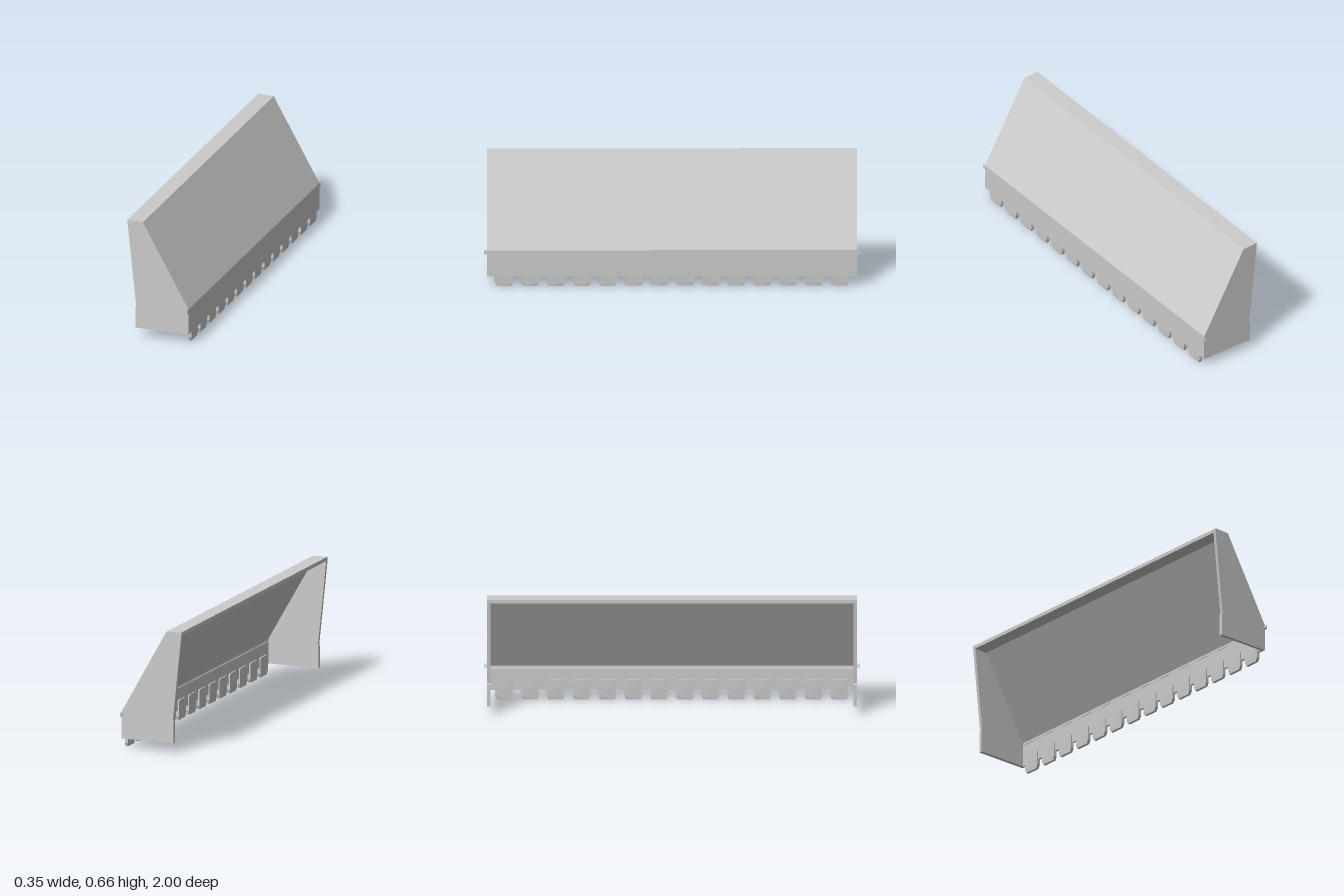
import * as THREE from 'three';

const HALF = 0.983; // half width of the bucket, along z

const toShape = (pts) => new THREE.Shape(pts.map(([x, y]) => new THREE.Vector2(x, y)));

// Extrude a profile by depth, starting at z
function extrude(pts, depth, z) {
  const geo = new THREE.ExtrudeGeometry(toShape(pts), { depth, bevelEnabled: false });
  return geo.translate(0, 0, z);
}

export function createModel() {
  const model = new THREE.Group();
  model.name = 'bucket';
  const material = new THREE.MeshStandardMaterial({ color: 0xcccccc, flatShading: true });
  const add = (name, geo, parent = model) => {
    const mesh = new THREE.Mesh(geo, material);
    mesh.name = name;
    parent.add(mesh);
    return mesh;
  };

  // Bent sheet: top lip, sloping wall and upright cutting plate
  const sheet = [
    [-0.175, 0.661], [-0.175, 0.641], [-0.099, 0.639], [0.16, 0.188],
    [0.16, 0.052], [0.172, 0.052], [0.172, 0.197], [-0.088, 0.658],
  ];
  const plate = 0.018;
  add('shell', extrude(sheet, 2 * (HALF - plate), -HALF + plate));

  // End plates, with a small step in the rear edge
  const side = [
    [-0.175, 0.661], [-0.174, 0.64], [-0.126, 0.178], [-0.13, 0.172],
    [-0.13, 0.052], [0.172, 0.052], [0.172, 0.197], [-0.088, 0.658],
  ];
  add('leftEndPlate', extrude(side, plate, HALF - plate));
  add('rightEndPlate', extrude(side, plate, -HALF));

  // Triangular bar filling the bend, its ends poking through the end plates
  add('bendBar', extrude([[0.157, 0.173], [0.1715, 0.173], [0.1715, 0.195]], 2, -1));

  // Teeth behind the cutting plate, narrowing towards the tip
  const tooth = extrude([
    [-0.04, 0], [0.04, 0], [0.049, 0.02], [0.049, 0.1], [0.042, 0.108],
    [-0.042, 0.108], [-0.049, 0.1], [-0.049, 0.02],
  ], 0.0185, 0.153).rotateY(Math.PI / 2);
  const pos = tooth.attributes.position;
  for (let i = 0; i < pos.count; i++) {
    if (pos.getY(i) < 0.01) pos.setX(i, 0.1625 + (pos.getX(i) - 0.1625) * 0.75);
  }
  tooth.computeVertexNormals();

  const teeth = new THREE.Group();
  teeth.name = 'teeth';
  model.add(teeth);
  const count = 14;
  for (let i = 0; i < count; i++) {
    add('tooth', tooth, teeth).position.z = (i - (count - 1) / 2) * 0.137;
  }
  return model;
}
